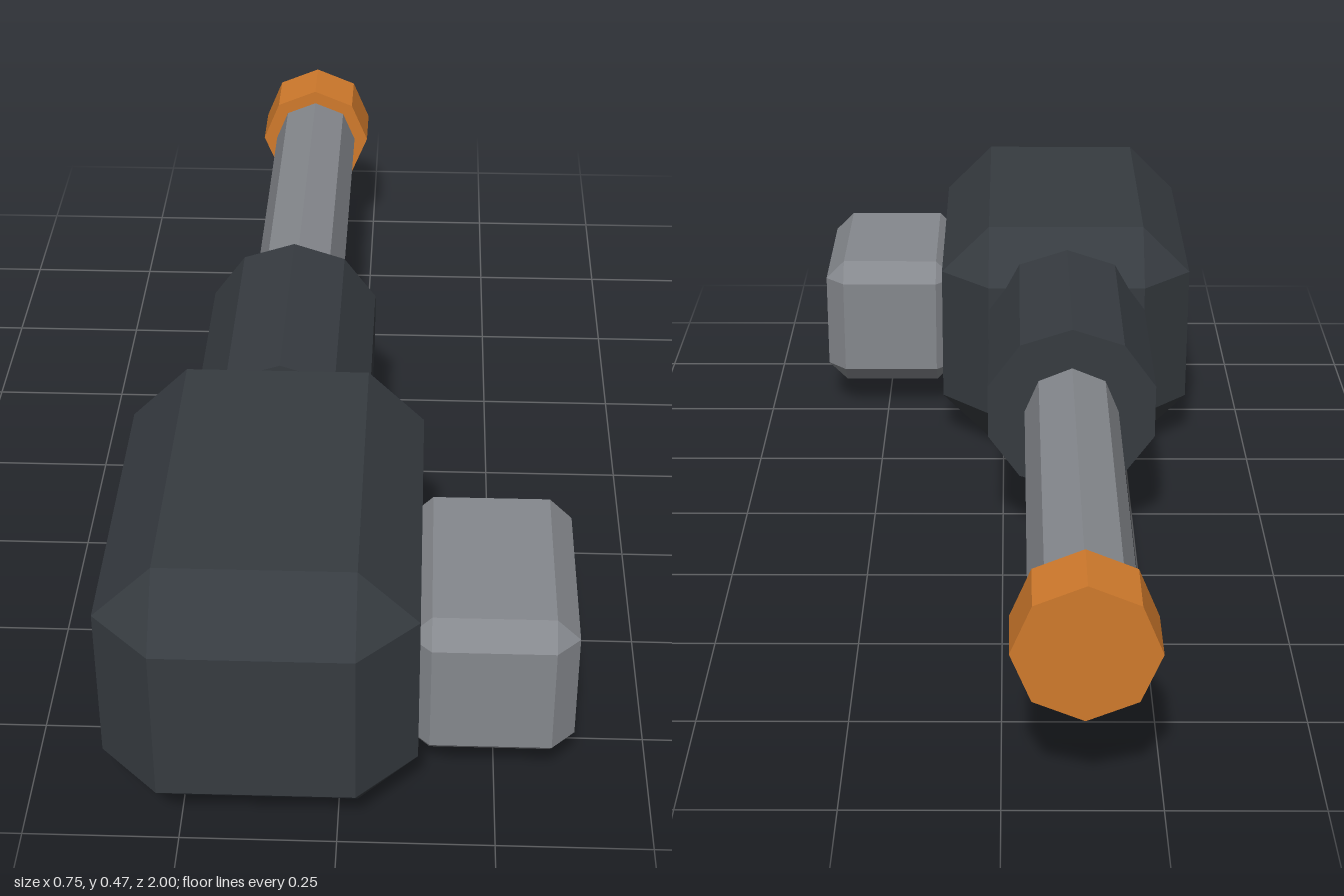
import * as THREE from 'three';
import { ConvexGeometry } from 'three/addons/geometries/ConvexGeometry.js';

const material = (name, color) => {
  const m = new THREE.MeshStandardMaterial({ color });
  m.name = name;
  return m;
};

// Box with bevelled edges and triangular corners, given by its extents
function bevelBox(min, max, bevel) {
  const half = max.map((v, i) => (v - min[i]) / 2);
  const points = [];
  for (const sx of [-1, 1]) for (const sy of [-1, 1]) for (const sz of [-1, 1]) {
    for (let axis = 0; axis < 3; axis++) {
      const [x, y, z] = half.map((h, i) => (i === axis ? h : h - bevel));
      points.push(new THREE.Vector3(sx * x, sy * y, sz * z));
    }
  }
  const geometry = new ConvexGeometry(points);
  geometry.translate(...max.map((v, i) => (v + min[i]) / 2));
  return geometry;
}

// Faceted rod along z on the shared axis, with a corner pointing up
function rod(radius, sides, z0, z1) {
  const geometry = new THREE.CylinderGeometry(radius, radius, z1 - z0, sides).toNonIndexed();
  geometry.computeVertexNormals();
  geometry.rotateX(Math.PI / 2);
  geometry.translate(-0.127, 0.275, (z0 + z1) / 2);
  return geometry;
}

export function createModel() {
  const group = new THREE.Group();
  const dark = material('dark casing', 0x363b40);
  const grey = material('grey metal', 0x85888d);
  const orange = material('orange tip', 0xd07a2c);

  const add = (name, geometry, mat) => {
    const mesh = new THREE.Mesh(geometry, mat);
    mesh.name = name;
    group.add(mesh);
  };

  // Main housing and the box on its left side
  add('housing', bevelBox([-0.378, 0, 0.263], [0.126, 0.466, 1], 0.096), dark);
  add('sideBox', bevelBox([0.106, 0.06, 0.49], [0.377, 0.33, 0.88], 0.038), grey);

  // Sleeve, barrel and end cap running to the back
  add('sleeve', rod(0.163, 10, -0.125, 0.3), dark);
  add('barrel', rod(0.087, 8, -0.9, -0.1), grey);
  add('endCap', rod(0.115, 8, -1, -0.885), orange);

  return group;
}
